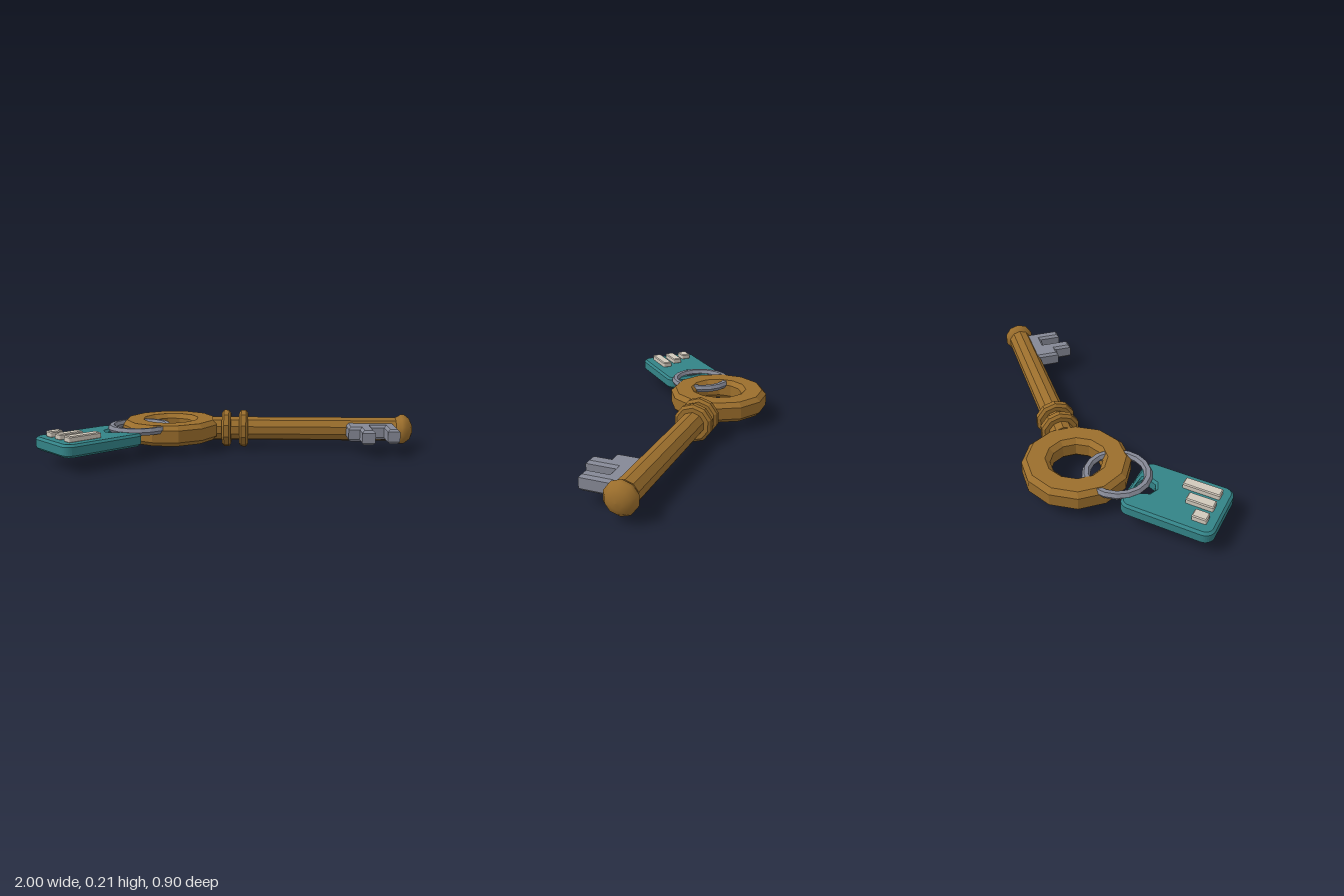
import * as THREE from 'three';

const paint = (name, color) => {
  const m = new THREE.MeshStandardMaterial({ color });
  m.name = name;
  return m;
};

// Faceted normals for the low-poly look
const facet = (geo) => {
  const g = geo.index ? geo.toNonIndexed() : geo;
  g.computeVertexNormals();
  return g;
};

const lathe = (points, sides) =>
  new THREE.LatheGeometry(points.map(([r, h]) => new THREE.Vector2(r, h)), sides);

// Turned part lying along x, with a corner line on top
const turned = (points, sides = 10) =>
  lathe(points, sides).rotateY(Math.PI / 2).rotateZ(-Math.PI / 2);

// Flat bevelled plate between two heights, outline given as (x, -z)
const plate = (shape, bottom, top, bevel) =>
  facet(new THREE.ExtrudeGeometry(shape, {
    depth: top - bottom - 2 * bevel,
    bevelThickness: bevel, bevelSize: bevel, bevelOffset: -bevel,
    bevelSegments: 1, curveSegments: 4,
  }).rotateX(-Math.PI / 2).translate(0, bottom + bevel, 0));

const roundedRect = (w, h, r) => {
  const x = w / 2 - r, y = h / 2 - r, q = Math.PI / 2;
  const s = new THREE.Shape();
  s.absarc(x, y, r, 0, q);
  s.absarc(-x, y, r, q, 2 * q);
  s.absarc(-x, -y, r, 2 * q, 3 * q);
  s.absarc(x, -y, r, 3 * q, 4 * q);
  s.closePath();
  return s;
};

export function createModel() {
  const brass = paint('brass', 0x9b6e2c);
  const steel = paint('steel', 0x858895);
  const teal = paint('teal', 0x338387);
  const cream = paint('cream', 0xd0c8bb);

  const model = new THREE.Group();
  model.name = 'keyWithTag';
  const add = (parent, name, geo, mat, x = 0, y = 0, z = 0) => {
    const mesh = new THREE.Mesh(geo, mat);
    mesh.name = name;
    mesh.position.set(x, y, z);
    parent.add(mesh);
    return mesh;
  };

  const AXIS_Y = 0.107, AXIS_Z = -0.193;

  // Bow: twelve-sided chamfered ring
  const k = 1 / Math.cos(Math.PI / 12);
  const bowProfile = [
    [0.15, -0.056], [0.238, -0.056], [0.262, -0.032], [0.262, 0.032],
    [0.238, 0.056], [0.15, 0.056], [0.126, 0.032], [0.126, -0.032], [0.15, -0.056],
  ].map(([r, h]) => [r * k, h]);
  add(model, 'bow', facet(lathe(bowProfile, 12).rotateY(Math.PI / 12)), brass, -0.357, AXIS_Y, AXIS_Z);

  // Shaft
  add(model, 'shaft', facet(turned([[0, -0.12], [0.066, -0.12], [0.066, 0.92], [0, 0.92]])),
    brass, 0, AXIS_Y, AXIS_Z);

  // Two collars next to the bow
  const collar = facet(turned([
    [0.05, -0.025], [0.09, -0.025], [0.105, -0.013], [0.105, 0.013], [0.09, 0.025], [0.05, 0.025],
  ]));
  for (const x of [-0.041, 0.055]) add(model, 'collar', collar, brass, x, AXIS_Y, AXIS_Z);

  // Rounded end knob
  add(model, 'endKnob', turned([
    [0.04, 0.893], [0.066, 0.902], [0.083, 0.932], [0.083, 0.952], [0.06, 0.981], [0.03, 0.995], [0, 0.997],
  ]), brass, 0, AXIS_Y, AXIS_Z);

  // Toothed bit
  const bit = new THREE.Shape([
    [0.625, 0.19], [0.625, 0.02], [0.685, 0.02], [0.685, -0.072], [0.755, -0.072], [0.755, 0.08],
    [0.825, 0.08], [0.825, -0.038], [0.89, -0.038], [0.89, 0.19],
  ].map(([x, y]) => new THREE.Vector2(x, y)));
  add(model, 'bit', plate(bit, 0.068, 0.148, 0.013), steel);

  // Link ring through the bow and the tag
  add(model, 'linkRing', facet(new THREE.TorusGeometry(0.151, 0.021, 6, 18).rotateX(Math.PI / 2)),
    steel, -0.508, 0.142, -0.033);

  // Tag, turned so its hole faces the ring
  const tag = new THREE.Group();
  tag.name = 'tag';
  tag.position.set(-0.738, 0, 0.185);
  tag.rotation.y = Math.PI / 4;
  model.add(tag);
  const tagShape = roundedRect(0.46, 0.34, 0.05);
  tagShape.holes.push(new THREE.Path().absarc(0.162, 0, 0.05, 0, Math.PI * 2, true));
  add(tag, 'tagPlate', plate(tagShape, 0.074, 0.141, 0.012), teal);

  // Raised bars of growing length
  [0.072, 0.135, 0.185].forEach((len, i) => {
    add(tag, 'tagBar', plate(roundedRect(len, 0.054, 0.008), 0.138, 0.17, 0.005),
      cream, -0.182 + len / 2, 0, (i - 1) * 0.0885);
  });

  return model;
}
